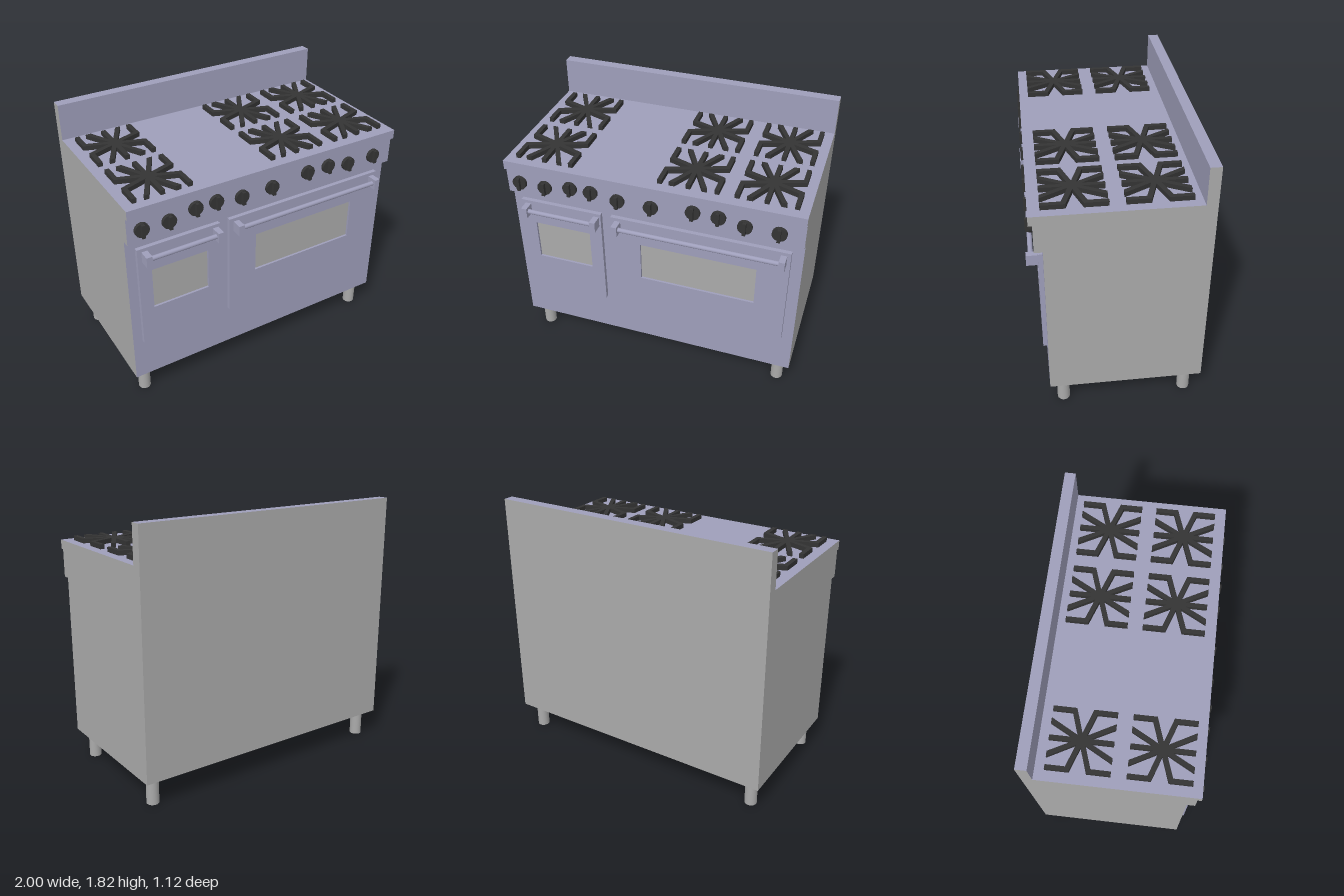
import * as THREE from 'three';

const mat = (name, color) => {
  const m = new THREE.MeshStandardMaterial({ color });
  m.name = name;
  return m;
};

export function createModel() {
  const steel = mat('lavender steel', 0x9e9eba);
  const grey = mat('grey panel', 0xaaaaaa);
  const black = mat('cast iron black', 0x343434);
  const root = new THREE.Group();

  const add = (parent, name, geometry, material, x = 0, y = 0, z = 0) => {
    const mesh = new THREE.Mesh(geometry, material);
    mesh.name = name;
    mesh.position.set(x, y, z);
    parent.add(mesh);
    return mesh;
  };
  // Box given by its limits on each axis
  const box = (parent, name, material, [x0, x1], [y0, y1], [z0, z1]) =>
    add(parent, name, new THREE.BoxGeometry(x1 - x0, y1 - y0, z1 - z0), material,
      (x0 + x1) / 2, (y0 + y1) / 2, (z0 + z1) / 2);
  const polygon = (pts) => new THREE.Shape(pts.map(([a, b]) => new THREE.Vector2(a, b)));
  const group = (name) => {
    const g = new THREE.Group();
    g.name = name;
    root.add(g);
    return g;
  };

  // Body: side profile (z, y) swept across the width
  const profile = polygon([
    [-0.56, 0.19], [0.458, 0.19], [0.458, 1.317], [0.51, 1.317], [0.51, 1.507],
    [0.535, 1.507], [0.535, 1.57], [-0.488, 1.57], [-0.488, 1.82], [-0.56, 1.82],
  ]);
  const body = new THREE.ExtrudeGeometry(profile, { depth: 2, bevelEnabled: false });
  body.rotateY(-Math.PI / 2).translate(1, 0, 0);
  // Front and top faces are steel; sides, back and underside are grey
  const normal = body.attributes.normal;
  body.clearGroups();
  for (let i = 0; i < normal.count; i += 3) {
    const isSteel = normal.getZ(i) > 0.5 || normal.getY(i) > 0.5;
    body.addGroup(i, 3, isSteel ? 0 : 1);
  }
  add(root, 'body', body, [steel, grey]);

  // Legs
  for (const x of [-0.91, 0.91]) {
    for (const z of [-0.465, 0.367]) {
      add(root, 'leg', new THREE.CylinderGeometry(0.042, 0.042, 0.19, 24),
        [grey, steel, steel], x, 0.095, z);
    }
  }

  // Oven doors with a recessed window and a bar handle
  const doors = [
    { name: 'smallDoor', x: [-0.935, -0.355], win: [-0.845, -0.445], top: 1.065, bar: [-0.886, -0.388] },
    { name: 'largeDoor', x: [-0.285, 0.925], win: [-0.08, 0.715], top: 1.06, bar: [-0.235, 0.88] },
  ];
  for (const { name, x, win, top, bar } of doors) {
    const g = group(name);
    const rect = ([x0, x1], y0, y1) => [[x0, y0], [x1, y0], [x1, y1], [x0, y1]];
    const panel = polygon(rect(x, 0.497, 1.245));
    panel.holes.push(polygon(rect(win, 0.767, top)));
    add(g, 'doorPanel',
      new THREE.ExtrudeGeometry(panel, { depth: 0.029, bevelEnabled: false }), steel, 0, 0, 0.458);
    box(g, 'window', grey, win, [0.767, top], [0.458, 0.472]);
    for (const bx of bar) {
      box(g, 'handleBracket', steel, [bx - 0.02, bx + 0.02], [1.148, 1.222], [0.486, 0.56]);
    }
    const rod = new THREE.CylinderGeometry(0.016, 0.016, bar[1] - bar[0], 20).rotateZ(Math.PI / 2);
    add(g, 'handleBar', rod, steel, (bar[0] + bar[1]) / 2, 1.187, 0.53);
  }

  // Control knobs: a disc with an upright grip
  const knobs = [
    [-0.906, 1.408], [-0.725, 1.406], [-0.543, 1.437], [-0.398, 1.437], [-0.214, 1.413],
    [0.013, 1.413], [0.291, 1.44], [0.457, 1.44], [0.626, 1.41], [0.842, 1.41],
  ];
  const disc = new THREE.CylinderGeometry(0.048, 0.048, 0.022, 24).rotateX(Math.PI / 2);
  const grip = new THREE.BoxGeometry(0.022, 0.09, 0.024);
  for (const [x, y] of knobs) {
    const g = group('knob');
    add(g, 'knobDisc', disc, black, x, y, 0.521);
    add(g, 'knobGrip', grip, black, x, y, 0.541);
  }

  // Burner grates: centre bar plus a diagonal and a bent arm in each quarter
  const shapes = [polygon([[-0.015, -0.2], [0.015, -0.2], [0.015, 0.2], [-0.015, 0.2]])];
  const diagonal = [[-0.016, 0], [0.016, 0], [0.124, 0.2], [0.088, 0.2]];
  const bentArm = [[0, -0.016], [0.2, 0.053], [0.2, 0.2], [0.17, 0.2], [0.17, 0.077], [0, 0.018]];
  for (const sx of [-1, 1]) {
    for (const sz of [-1, 1]) {
      for (const arm of [diagonal, bentArm]) {
        shapes.push(polygon(arm.map(([a, b]) => [a * sx, b * sz])));
      }
    }
  }
  const grate = new THREE.ExtrudeGeometry(shapes, { depth: 0.031, bevelEnabled: false });
  grate.rotateX(-Math.PI / 2);
  const columns = [[-0.733, -0.225, 0.272], [0.24, -0.236, 0.262], [0.737, -0.236, 0.262]];
  for (const [x, ...rows] of columns) {
    for (const z of rows) add(root, 'burnerGrate', grate, black, x, 1.57, z);
  }

  return root;
}
